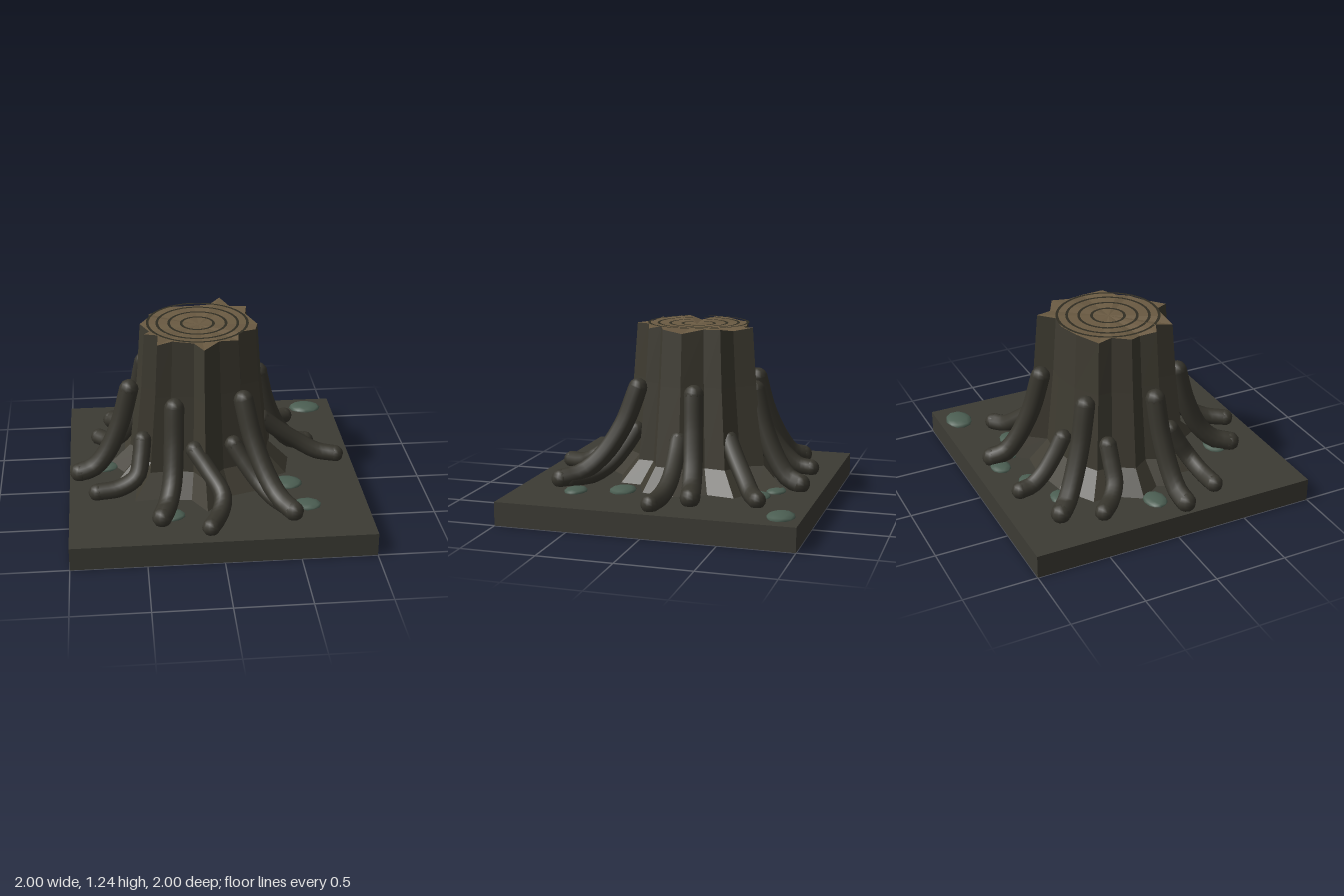
import * as THREE from 'three';

const mat = (name, color) => {
  const m = new THREE.MeshStandardMaterial({ color });
  m.name = name;
  return m;
};

// faceted mesh data from loose triangles
function facets(triangles) {
  const g = new THREE.BufferGeometry().setFromPoints(triangles);
  g.computeVertexNormals();
  return g;
}

export function createModel() {
  const model = new THREE.Group();
  const soil = mat('soil', 0x3c3b34);
  const bark = mat('bark', 0x3e3b31);
  const rootBark = mat('root bark', 0x38362e);
  const wood = mat('cut wood', 0x6a5a42);
  const ringWood = mat('ring wood', 0x302d22);
  const moss = mat('mossy stone', 0x4c5f53);

  const add = (name, geometry, material, parent = model) => {
    const mesh = new THREE.Mesh(geometry, material);
    mesh.name = name;
    parent.add(mesh);
    return mesh;
  };

  // square ground slab
  add('groundSlab', new THREE.BoxGeometry(2, 0.16, 2), soil).position.y = 0.08;

  // trunk: ragged outline (x, z), scaled outward at each lower level
  const cx = -0.08, cz = -0.06;
  const outline = [
    [-0.09, -0.41], [0.02, -0.4], [0.1, -0.5], [0.16, -0.38], [0.27, -0.32], [0.25, -0.2],
    [0.32, -0.07], [0.29, 0.07], [0.17, 0.12], [0.16, 0.21], [0.03, 0.25], [-0.08, 0.37],
    [-0.14, 0.27], [-0.28, 0.25], [-0.38, 0.26], [-0.37, 0.14], [-0.46, 0.1], [-0.42, 0],
    [-0.48, -0.09], [-0.41, -0.2], [-0.41, -0.29], [-0.26, -0.38],
  ];
  const n = outline.length;
  const rimOffset = [0, 0.01, 0.02, 0, 0.02, 0.015, -0.01, 0.01, 0.015, -0.005, 0.01];
  const levels = [[0.155, 1.6], [0.31, 1.22], [0.85, 1.07], [1.22, 1]];
  const point = (i, level) => {
    const [x, z] = outline[i % n];
    const [y, s] = levels[level];
    const dy = level === 3 ? rimOffset[(i % n) % rimOffset.length] : 0;
    return new THREE.Vector3(cx + (x - cx) * s, y + dy, cz + (z - cz) * s);
  };
  const sides = [], cap = [];
  for (let i = 0; i < n; i++) {
    for (let k = 0; k < 3; k++) {
      const a = point(i, k), b = point(i + 1, k), c = point(i, k + 1), d = point(i + 1, k + 1);
      sides.push(a, c, b, b, c, d);
    }
    cap.push(new THREE.Vector3(cx, 1.222, cz), point(i + 1, 3), point(i, 3));
  }
  add('trunk', facets(sides), bark);
  add('cutTop', facets(cap), wood);

  // growth rings
  [0.11, 0.195, 0.275, 0.34].forEach((r, i) => {
    const ring = add('growthRing', new THREE.RingGeometry(r - 0.009, r + 0.009, 40), ringWood);
    ring.rotation.x = -Math.PI / 2;
    ring.position.set(-0.09, 1.23 + i * 0.003, -0.07);
  });

  // roots: start, middle and end (x, z); tall ones climb higher up the trunk
  const roots = [
    [true, -0.57, 0.04, -0.74, 0.07, -0.93, 0.09],
    [false, -0.49, 0.2, -0.54, 0.32, -0.81, 0.37],
    [true, -0.28, 0.36, -0.31, 0.53, -0.39, 0.74],
    [false, -0.15, 0.38, 0.02, 0.63, -0.08, 0.88],
    [true, 0.19, 0.28, 0.33, 0.5, 0.48, 0.74],
    [false, 0.12, 0.32, 0.28, 0.46, 0.45, 0.68],
    [false, 0.36, -0.06, 0.64, -0.08, 0.89, -0.03],
    [true, 0.34, -0.16, 0.5, -0.2, 0.7, -0.24],
    [false, 0.25, -0.38, 0.44, -0.54, 0.61, -0.66],
    [true, 0.05, -0.51, 0.1, -0.68, 0.15, -0.85],
    [false, -0.28, -0.5, -0.31, -0.66, -0.32, -0.83],
    [true, -0.45, -0.41, -0.57, -0.56, -0.69, -0.7],
    [false, -0.5, -0.27, -0.64, -0.29, -0.79, -0.44],
  ];
  for (const [tall, x0, z0, x1, z1, x2, z2] of roots) {
    const root = new THREE.Group();
    root.name = tall ? 'tallRoot' : 'lowRoot';
    model.add(root);
    const plan = new THREE.CatmullRomCurve3([[x0, z0], [x1, z1], [x2, z2]]
      .map(([x, z]) => new THREE.Vector3(x, 0, z)));
    const heights = tall ? [0.81, 0.56, 0.34, 0.235, 0.205] : [0.5, 0.4, 0.28, 0.215, 0.2];
    const path = new THREE.CatmullRomCurve3([0, 0.2, 0.5, 0.75, 1].map((t, i) => {
      const p = plan.getPoint(t);
      p.y = heights[i];
      return p;
    }));
    const r = tall ? 0.067 : 0.06;
    add('rootBody', new THREE.TubeGeometry(path, 14, r, 10), rootBark, root);
    for (const t of [0, 1]) {
      add('rootTip', new THREE.SphereGeometry(r, 10, 8), rootBark, root)
        .position.copy(path.getPoint(t));
    }
  }

  // flat mossy stones: x, z, radius
  const stones = [
    [0.8, -0.86, 0.12], [-0.2, -0.71, 0.1], [0.07, -0.82, 0.09], [0.22, -0.7, 0.09],
    [0.38, -0.62, 0.1], [-0.46, -0.6, 0.09], [-0.76, -0.05, 0.1], [0.49, 0.29, 0.115],
    [0.59, 0.59, 0.1], [-0.33, 0.65, 0.1],
  ];
  stones.forEach(([x, z, r], i) => {
    const stone = add('mossyStone', new THREE.IcosahedronGeometry(r, 1), moss);
    stone.geometry.rotateY(i * 1.3);
    stone.scale.set(1, 0.25, 0.78);
    stone.position.set(x, 0.162, z);
  });

  return model;
}
